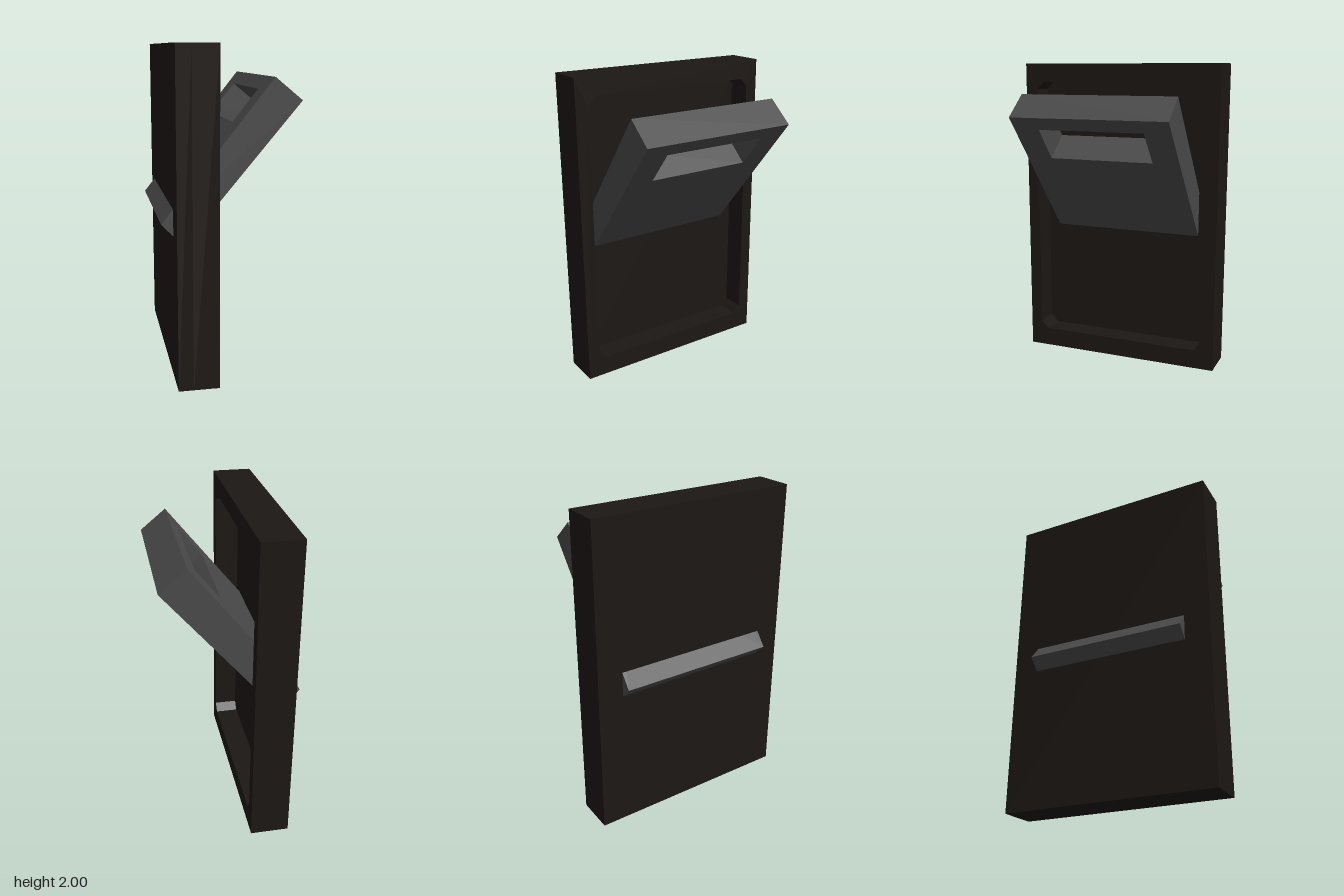
import * as THREE from 'three';

// Chamfered rectangle path, counter-clockwise
function rectPath(Type, x0, x1, y0, y1, c = 0) {
  const p = c
    ? [[x0 + c, y0], [x1 - c, y0], [x1, y0 + c], [x1, y1 - c], [x1 - c, y1], [x0 + c, y1], [x0, y1 - c], [x0, y0 + c]]
    : [[x0, y0], [x1, y0], [x1, y1], [x0, y1]];
  return new Type(p.map(([x, y]) => new THREE.Vector2(x, y)));
}

export function createModel() {
  const group = new THREE.Group();
  const darkMat = new THREE.MeshStandardMaterial({ color: 0x1c1714, flatShading: true });
  const greyMat = new THREE.MeshStandardMaterial({ color: 0x4a4a4a, flatShading: true });
  const add = (name, geometry, material) => {
    const mesh = new THREE.Mesh(geometry, material);
    mesh.name = name;
    group.add(mesh);
  };

  const back = -0.35, floor = -0.26, front = -0.105, halfWidth = 0.675;

  // Back panel, the floor of the recess
  const panel = new THREE.BoxGeometry(floor - back, 2, halfWidth * 2);
  panel.translate((back + floor) / 2, 1, 0);
  add('backPanel', panel, darkMat);

  // Raised rim around the recess, extruded toward +x
  const rimShape = rectPath(THREE.Shape, -halfWidth, halfWidth, 0, 2);
  rimShape.holes.push(rectPath(THREE.Path, -0.595, 0.595, 0.125, 1.88, 0.05));
  const rim = new THREE.ExtrudeGeometry(rimShape, { depth: front - floor, bevelEnabled: false });
  rim.rotateY(Math.PI / 2).translate(floor, 0, 0);
  add('rim', rim, darkMat);

  // Slanted lever plate with a slot: a unit slab mapped onto its slightly tapered side profile
  const leverShape = rectPath(THREE.Shape, 0, 1, -0.513, 0.513);
  leverShape.holes.push(rectPath(THREE.Path, 0.68, 0.91, -0.342, 0.342));
  const lever = new THREE.ExtrudeGeometry(leverShape, { depth: 1, bevelEnabled: false });
  const under = [new THREE.Vector2(-0.29, 0.837), new THREE.Vector2(0.415, 1.675)];
  const upper = [new THREE.Vector2(-0.42, 0.97), new THREE.Vector2(0.25, 1.81)];
  const pos = lever.attributes.position;
  for (let i = 0; i < pos.count; i++) {
    const u = pos.getX(i), w = pos.getZ(i);
    const a = under[0].clone().lerp(under[1], u);
    a.lerp(upper[0].clone().lerp(upper[1], u), w);
    pos.setXYZ(i, a.x, a.y, -pos.getY(i));
  }
  lever.computeVertexNormals();
  add('lever', lever, greyMat);

  return group;
}
